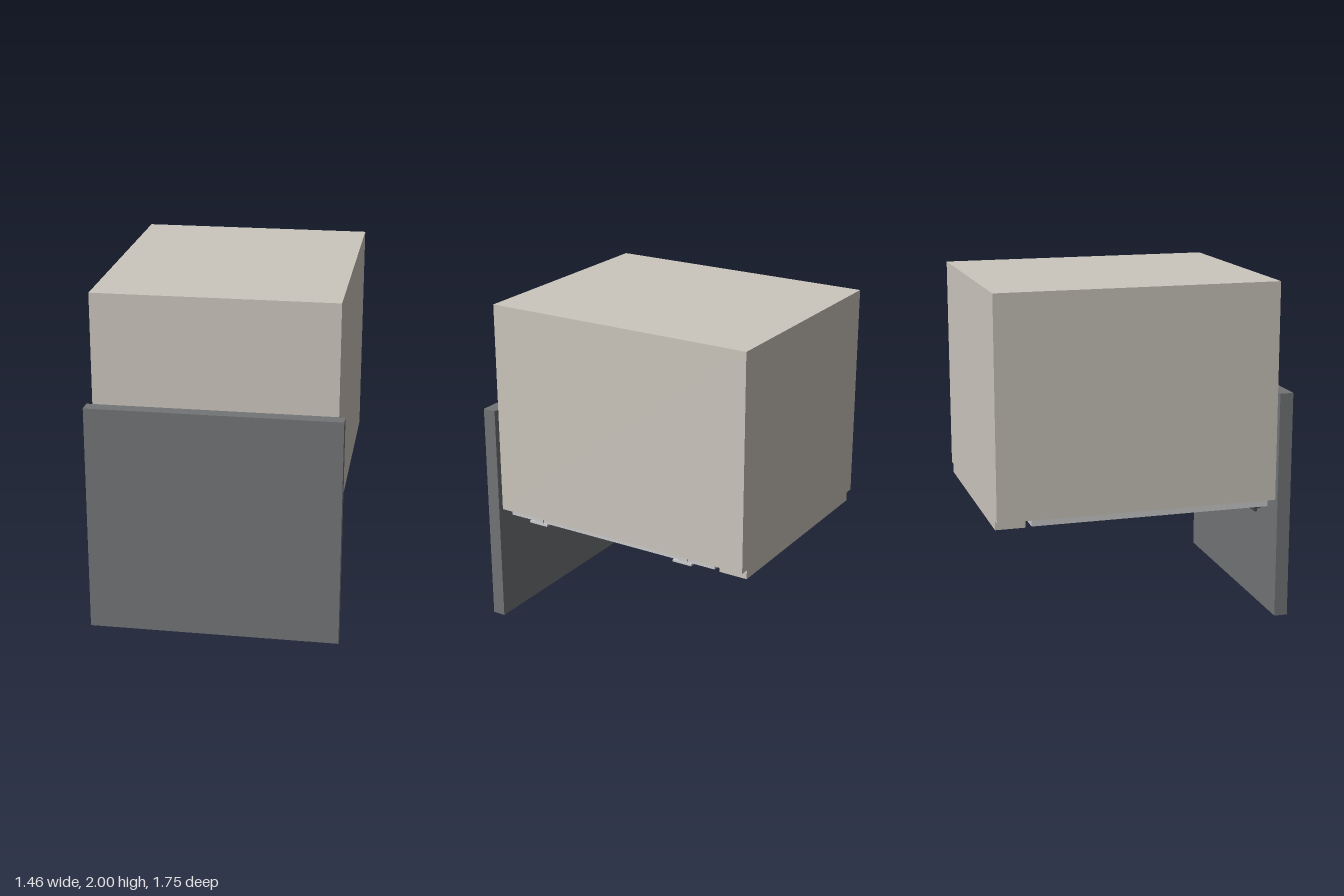
import * as THREE from 'three';

const paint = (color) => new THREE.MeshStandardMaterial({ color });

export function createModel() {
  const model = new THREE.Group();
  const beige = paint(0xcbc6bd);
  const slate = paint(0x727476);
  const pale = paint(0xdadada);
  const dark = paint(0x4a4c4e);

  // Box given by its extents along each axis
  const block = (name, material, [x0, x1], [y0, y1], [z0, z1], parent = model) => {
    const mesh = new THREE.Mesh(new THREE.BoxGeometry(x1 - x0, y1 - y0, z1 - z0), material);
    mesh.position.set((x0 + x1) / 2, (y0 + y1) / 2, (z0 + z1) / 2);
    mesh.name = name;
    parent.add(mesh);
  };

  // Cabinet body and the large door panel hanging below its front
  block('cabinetBody', beige, [-0.693, 0.693], [0.71, 2], [-0.873, 0.793]);
  block('frontPanel', slate, [-0.728, 0.728], [0, 1.355], [0.793, 0.873]);

  // Underside: rear rail and base plate with a gap between them
  block('rearRail', beige, [-0.64, 0.64], [0.655, 0.71], [-0.873, -0.697]);
  block('basePlate', pale, [-0.63, 0.63], [0.655, 0.705], [-0.66, 0.77]);

  // Hinge pads under the left edge, each with a small side tab
  for (const z of [0.563, -0.453]) {
    const hinge = new THREE.Group();
    hinge.name = 'hinge';
    block('hingePad', pale, [0.565, 0.645], [0.643, 0.656], [z - 0.062, z + 0.062], hinge);
    block('hingeTab', pale, [0.628, 0.64], [0.65, 0.685], [z - 0.03, z + 0.03], hinge);
    model.add(hinge);
  }

  // Dark sealing strip near the front with a thin lower fin
  const strip = new THREE.Group();
  strip.name = 'frontStrip';
  block('stripBase', dark, [-0.565, 0.565], [0.626, 0.656], [0.697, 0.753], strip);
  block('stripFin', dark, [-0.565, 0.565], [0.608, 0.627], [0.716, 0.732], strip);
  model.add(strip);

  return model;
}
